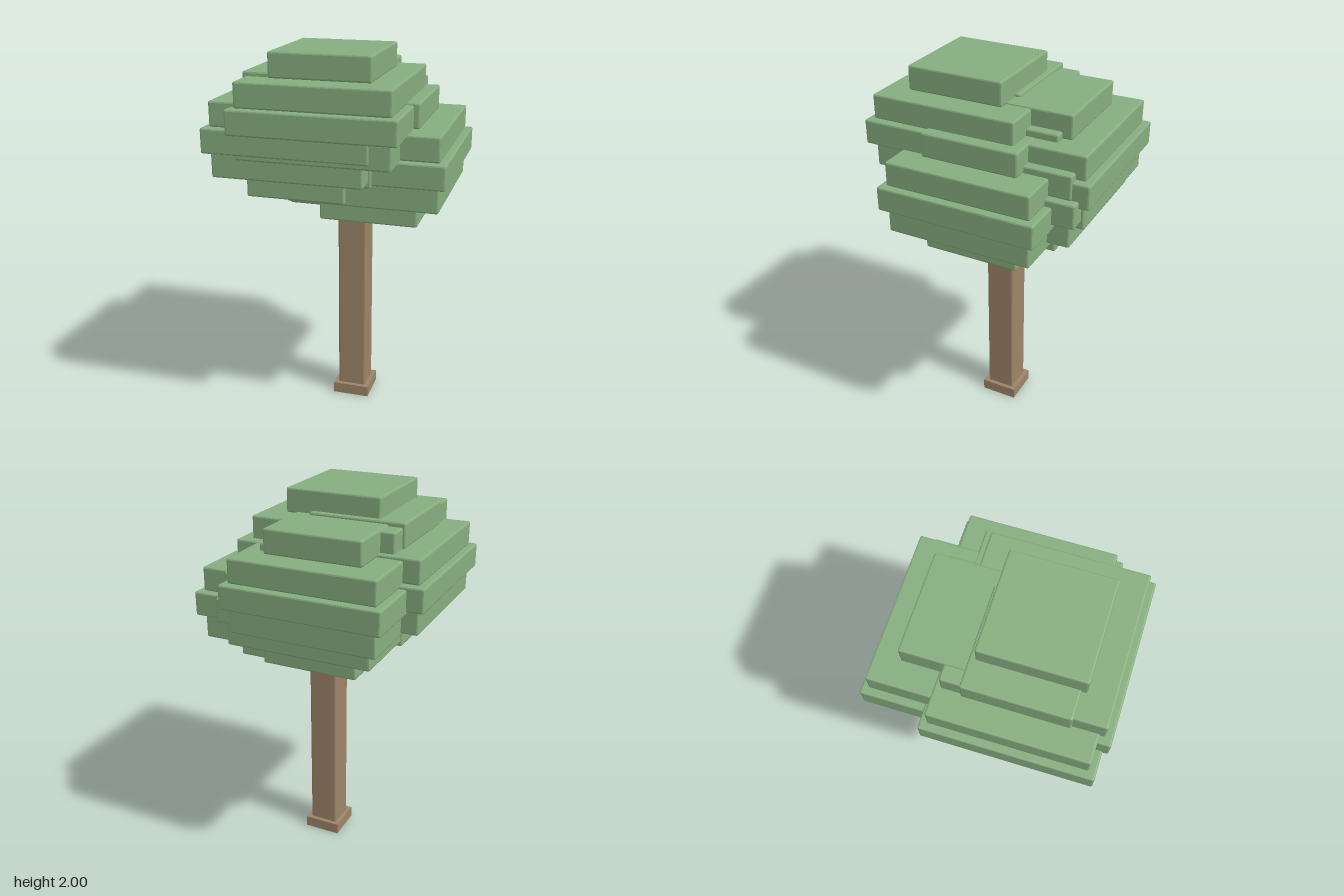
import * as THREE from 'three';
import { RoundedBoxGeometry } from 'three/addons/geometries/RoundedBoxGeometry.js';

const BEVEL = 0.009;
const LAYER = 0.1273; // thickness of one foliage slab
const WIDTHS = [0.515, 0.772, 0.843, 0.772, 0.515]; // slab widths, top to bottom

// Foliage clumps: centre x, centre z and top height
const CLUMPS = [
  { name: 'frontFoliage', x: -0.027, z: 0.17, top: 2.0 },
  { name: 'leftFoliage', x: 0.167, z: -0.009, top: 1.756 },
  { name: 'rightFoliage', x: -0.17, z: 0.142, top: 1.896 },
  { name: 'backFoliage', x: -0.082, z: -0.175, top: 1.881 },
  { name: 'innerFoliage', x: -0.033, z: -0.124, top: 1.791 },
];

// Box with a crisp one-step bevel
function bevelBox(w, h, d) {
  const geometry = new RoundedBoxGeometry(w, h, d, 1, BEVEL);
  geometry.computeVertexNormals();
  return geometry;
}

export function createModel() {
  const leaf = new THREE.MeshStandardMaterial({ color: 0x87ad7f, flatShading: true });
  leaf.name = 'leaf green';
  const bark = new THREE.MeshStandardMaterial({ color: 0x9d8468, flatShading: true });
  bark.name = 'bark brown';

  const tree = new THREE.Group();
  tree.name = 'tree';

  const add = (parent, name, geometry, material, x, y, z) => {
    const mesh = new THREE.Mesh(geometry, material);
    mesh.name = name;
    mesh.position.set(x, y, z);
    parent.add(mesh);
  };

  // Trunk on its square foot
  const trunkX = 0.032, trunkZ = -0.011;
  add(tree, 'trunkFoot', new THREE.BoxGeometry(0.2, 0.06, 0.2), bark, trunkX, 0.03, trunkZ);
  add(tree, 'trunk', bevelBox(0.155, 1.2, 0.155), bark, trunkX, 0.65, trunkZ);

  // Crown: overlapping stepped clumps, each a stack of square slabs
  for (const clump of CLUMPS) {
    const group = new THREE.Group();
    group.name = clump.name;
    WIDTHS.forEach((w, i) => {
      const y = clump.top - (i + 0.5) * LAYER;
      add(group, `foliageLayer${i + 1}`, bevelBox(w, LAYER, w), leaf, clump.x, y, clump.z);
    });
    tree.add(group);
  }
  return tree;
}
